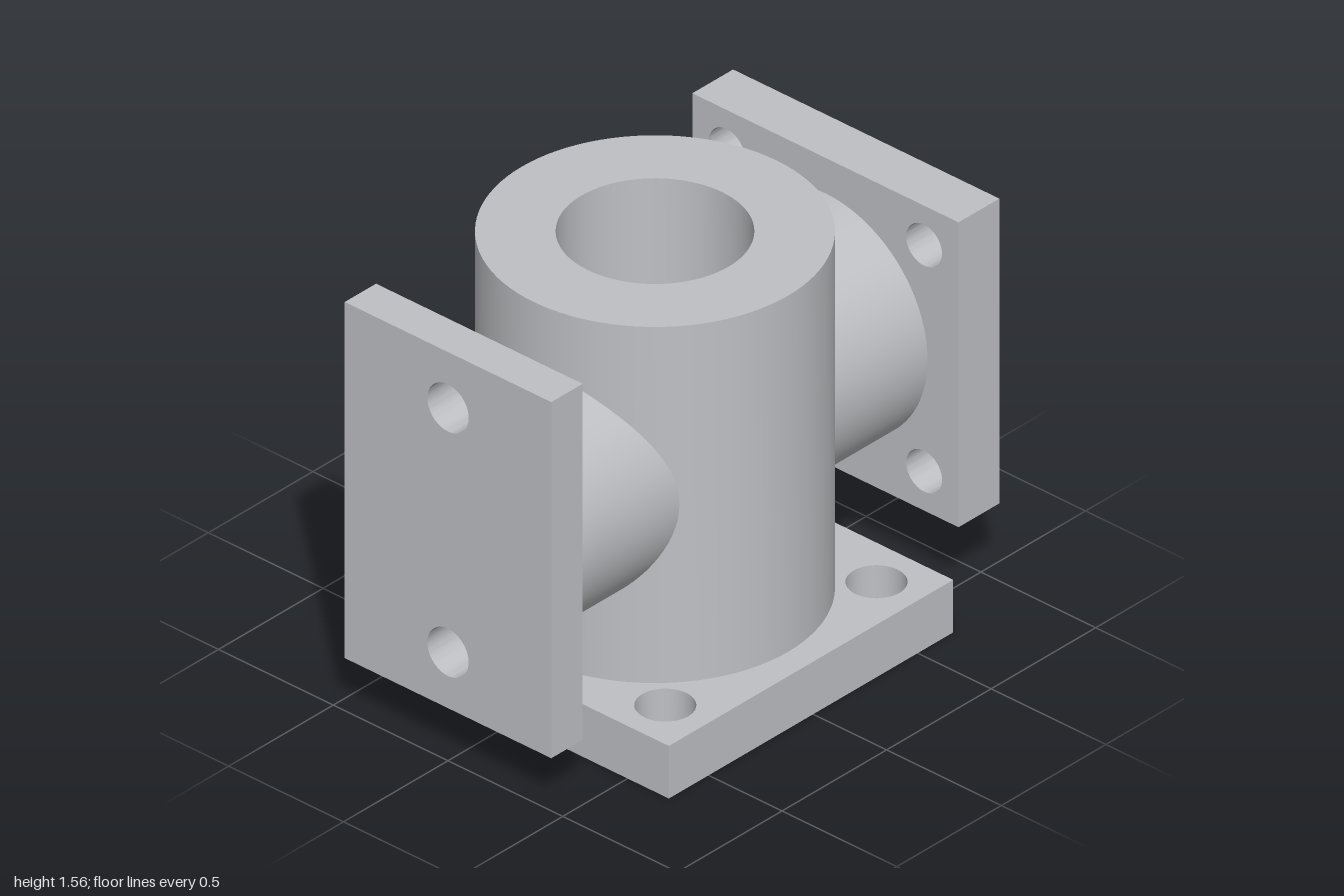
import * as THREE from 'three';
import { toCreasedNormals } from 'three/addons/utils/BufferGeometryUtils.js';

export function createModel() {
  const group = new THREE.Group();
  const steel = new THREE.MeshStandardMaterial({ color: 0xbfc0c4 });
  steel.name = 'light grey metal';
  const axisY = 0.875; // height of the side ports
  const centreZ = 0.01;

  const add = (name, geometry, x, y, z) => {
    const mesh = new THREE.Mesh(toCreasedNormals(geometry, 0.6), steel);
    mesh.name = name;
    mesh.position.set(x, y, z);
    group.add(mesh);
    return mesh;
  };
  const extrude = (shape, depth) =>
    new THREE.ExtrudeGeometry(shape, { depth, bevelEnabled: false, curveSegments: 32 });

  // Rectangular flange pierced by round bolt holes
  const plate = (halfW, halfH, depth, holes, r) => {
    const s = new THREE.Shape();
    s.moveTo(-halfW, -halfH);
    s.lineTo(halfW, -halfH);
    s.lineTo(halfW, halfH);
    s.lineTo(-halfW, halfH);
    s.closePath();
    for (const [x, y] of holes) {
      const hole = new THREE.Path();
      hole.absarc(x, y, r, 0, Math.PI * 2, true);
      s.holes.push(hole);
    }
    return extrude(s, depth);
  };
  const corners = (d) => [[-d, -d], [d, -d], [d, d], [-d, d]];

  // Flanges
  add('baseFlange', plate(0.68, 0.68, 0.2, corners(0.505), 0.1).rotateX(-Math.PI / 2), 0, 0, centreZ);
  add('backFlange', plate(0.58, 0.58, 0.195, corners(0.43), 0.078), 0, axisY, -1);
  add('frontFlange', plate(0.45, 0.6775, 0.15, [[0, 0.465], [0, -0.465]], 0.09), 0, 0.8775, 0.85);

  // Upright body with a stepped blind bore
  const profile = [
    [0.58, 0.2], [0.58, 1.555], [0.32, 1.555], [0.32, 0.75],
    [0.195, 0.75], [0.195, 0.3], [0, 0.3],
  ].map(([x, y]) => new THREE.Vector2(x, y));
  add('body', new THREE.LatheGeometry(profile, 96), 0, 0, centreZ);

  // Bore seat, split by a slot running front to back
  const a = Math.acos(0.14 / 0.32);
  const b = Math.acos(0.14 / 0.195);
  for (const turn of [0, Math.PI]) {
    const s = new THREE.Shape();
    s.absarc(0, 0, 0.32, turn - a, turn + a, false);
    s.absarc(0, 0, 0.195, turn + b, turn - b, true);
    s.closePath();
    add(turn ? 'seatRight' : 'seatLeft', extrude(s, 0.15).rotateX(-Math.PI / 2), 0, 0.75, centreZ);
  }

  // Round necks joining the body to the side flanges
  const neck = (name, z0, z1) => {
    const g = new THREE.CylinderGeometry(0.445, 0.445, z1 - z0, 96).rotateX(Math.PI / 2);
    add(name, g, 0, axisY, (z0 + z1) / 2);
  };
  neck('backNeck', -0.81, -0.35);
  neck('frontNeck', 0.37, 0.78);

  // Neck end, scalloped above and below by the bolt holes
  const points = [];
  for (let i = 0; i < 240; i++) {
    const t = (i / 240) * Math.PI * 2;
    const across = 0.465 * Math.cos(t);
    const root = 0.09 ** 2 - across ** 2;
    const limit = root > 0 ? 0.465 * Math.abs(Math.sin(t)) - Math.sqrt(root) : 1;
    const r = Math.min(0.445, limit);
    points.push(new THREE.Vector2(r * Math.cos(t), r * Math.sin(t)));
  }
  add('frontNeckEnd', extrude(new THREE.Shape(points), 0.07), 0, axisY, 0.78);

  return group;
}
